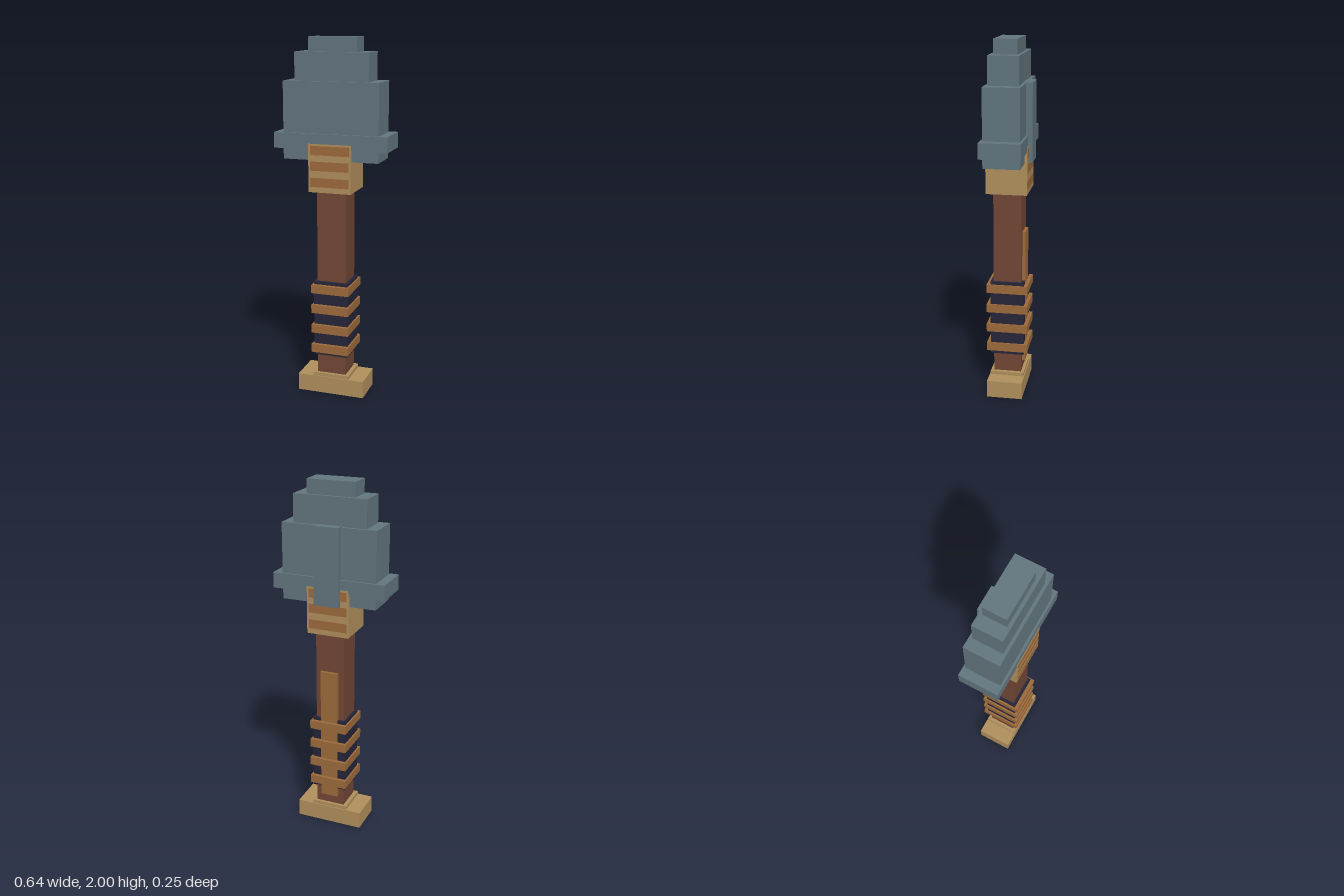
import * as THREE from 'three';

const mat = (name, color) => {
  const m = new THREE.MeshStandardMaterial({ color });
  m.name = name;
  return m;
};

export function createModel() {
  const steel = mat('steel', 0x62757e);
  const wood = mat('wood', 0x714635);
  const leather = mat('leather', 0x9c6a3b);
  const brass = mat('brass', 0xb08f5c);
  const cloth = mat('darkCloth', 0x25253a);

  const model = new THREE.Group();
  model.name = 'hammer';
  const midZ = 0.0085; // shared depth centre of the shaft and head

  // Box centred on x, given half width, bottom, top, back and front
  const block = (name, material, halfX, y0, y1, z0, z1) => {
    const mesh = new THREE.Mesh(new THREE.BoxGeometry(halfX * 2, y1 - y0, z1 - z0), material);
    mesh.position.set(0, (y0 + y1) / 2, (z0 + z1) / 2);
    mesh.name = name;
    model.add(mesh);
  };
  // Block centred on the shaft axis
  const centred = (name, material, halfX, y0, y1, halfZ) =>
    block(name, material, halfX, y0, y1, midZ - halfZ, midZ + halfZ);

  // Pommel and shaft
  centred('pommel', brass, 0.193, 0, 0.098, 0.1);
  centred('pommelLip', brass, 0.105, 0.098, 0.118, 0.095);
  centred('shaft', wood, 0.083, 0.11, 1.2, 0.078);
  block('backStrap', leather, 0.05, 0.175, 0.95, -0.088, -0.06);

  // Wrapped grip with four raised bands
  centred('grip', cloth, 0.098, 0.23, 0.665, 0.0945);
  for (let i = 0; i < 4; i++) {
    const y = 0.273 + i * 0.117;
    centred('gripBand', leather, 0.108, y - 0.024, y + 0.024, 0.1155);
  }

  // Collar with inlaid bands showing front and back
  centred('collar', brass, 0.12, 1.176, 1.44, 0.1125);
  for (const y of [1.231, 1.32, 1.405]) {
    centred('collarBand', leather, 0.109, y - 0.025, y + 0.025, 0.1155);
  }

  // Stepped head
  centred('head', steel, 0.267, 1.35, 1.77, 0.0985);
  centred('headRim', steel, 0.318, 1.409, 1.494, 0.111);
  centred('headUpperStep', steel, 0.206, 1.77, 1.922, 0.082);
  centred('headCap', steel, 0.135, 1.922, 2, 0.064);
  block('headBackPlate', steel, 0.071, 1.346, 1.774, -0.125, -0.074);

  return model;
}
